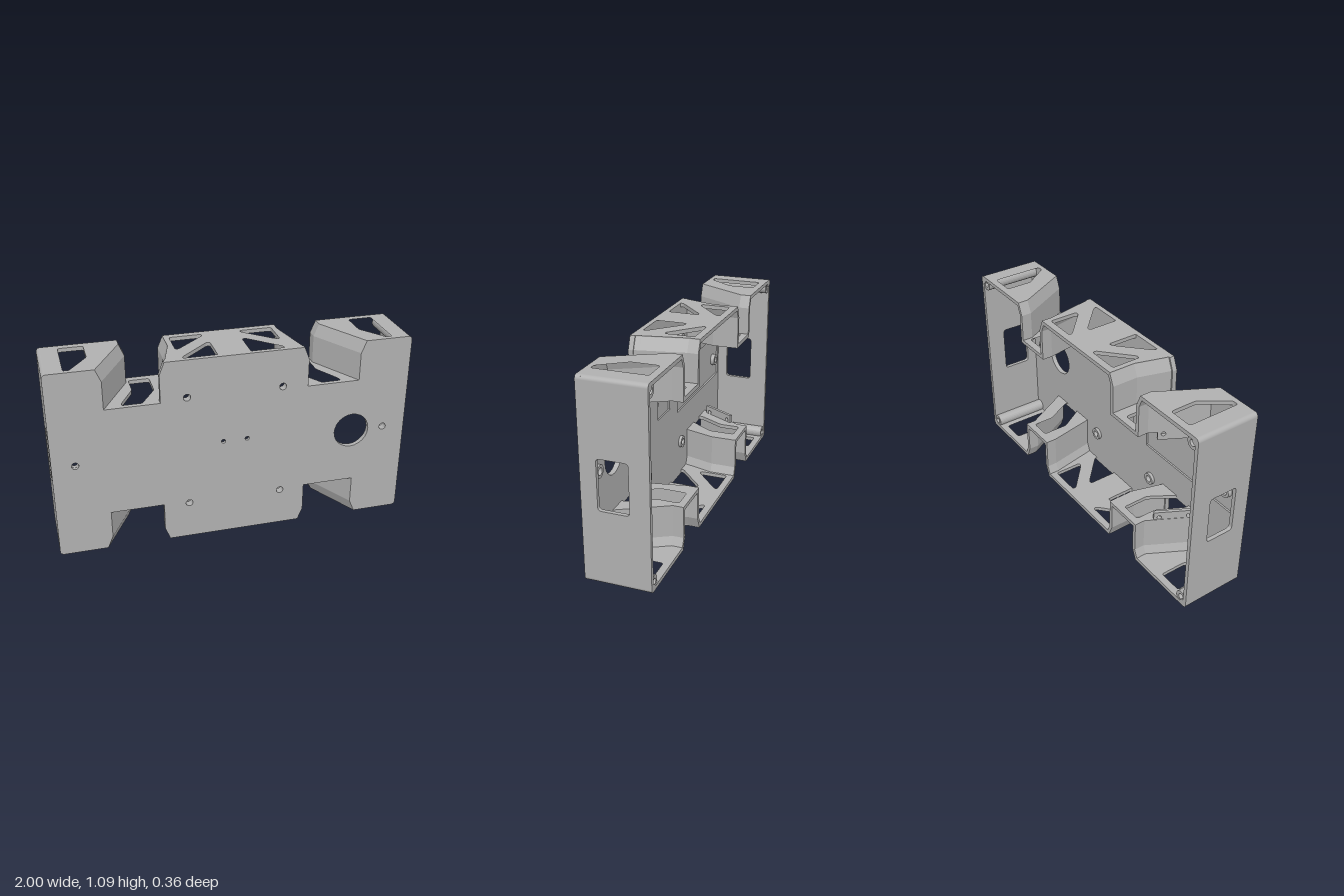
import * as THREE from 'three';

const H = 1.09, D = 0.18, T = 0.022;
const grey = new THREE.MeshStandardMaterial({ color: 0xb0b0b0 });
grey.name = 'plain grey';

// Closed outline from [x, y, cornerRadius] points
function outline(pts, r = 0, Type = THREE.Shape) {
  const s = new Type(), n = pts.length;
  pts.forEach((p, i) => {
    const v = new THREE.Vector2(p[0], p[1]);
    const toward = (q) => {
      const d = new THREE.Vector2(q[0], q[1]).sub(v), len = d.length();
      return d.setLength(Math.min(p[2] ?? r, len * 0.45)).add(v);
    };
    const a = toward(pts[(i + n - 1) % n]), b = toward(pts[(i + 1) % n]);
    if (i) s.lineTo(a.x, a.y); else s.moveTo(a.x, a.y);
    if ((p[2] ?? r) > 0) s.quadraticCurveTo(v.x, v.y, b.x, b.y);
  });
  s.closePath();
  return s;
}
const cut = (pts, r = 0.015) => outline(pts, r, THREE.Path);
const round = (x, y, r) => new THREE.Path().absarc(x, y, r, 0, Math.PI * 2, true);
const rect = (x0, y0, x1, y1) => [[x0, y0], [x1, y0], [x1, y1], [x0, y1]];

function slab(shape, holes, depth, steps = 1) {
  shape.holes.push(...holes);
  return new THREE.ExtrudeGeometry(shape, { depth, steps, bevelEnabled: false, curveSegments: 12 });
}

export function createModel() {
  const model = new THREE.Group();
  model.name = 'enclosure';
  const add = (name, geo, x = 0, y = 0, z = 0) => {
    const m = new THREE.Mesh(geo, grey);
    m.name = name;
    m.position.set(x, y, z);
    model.add(m);
    return m;
  };
  // Horizontal plate given by [x, z] points
  const flat = (pts, holes) => slab(outline(pts.map(([x, z]) => [x, -z])),
    holes.map((h) => cut(h.map(([x, z]) => [x, -z]))), T).rotateX(-Math.PI / 2);
  const mirrorX = (pts, s) => pts.map(([x, ...rest]) => [x * s, ...rest]);

  // Front plate: outer skin plus inner layer with shallow recesses
  const quarter = [[1, H, 0.025], [0.735, H], [0.705, 1.02], [0.705, 0.86], [0.408, 0.86], [0.408, 1.02], [0.38, H]];
  const flipY = (pts) => pts.map(([x, y, r]) => [x, H - y, r]);
  const left = mirrorX(quarter, -1);
  const edge = [...quarter, ...[...left].reverse(), ...flipY(left), ...flipY([...quarter].reverse())];
  const screws = [[-0.875, 0.55], [0.87, 0.55]];
  for (const x of [-0.265, 0.265]) screws.push([x, 0.875], [x, 0.22]);
  const drilled = () => [round(0.68, 0.55, 0.102), ...screws.map(([x, y]) => round(x, y, 0.02))];
  const pins = [-0.067, 0.067].map((x) => round(x, 0.585, 0.012));
  add('frontPlate', slab(outline(edge), [...drilled(), ...pins], 0.018), 0, 0, D - 0.018);
  const inner = drilled();
  inner.splice(1, 1); // this screw hole lies inside the large recess
  add('frontPlateInnerLayer', slab(outline(edge), [...inner,
    cut(rect(-0.09, 0.5, 0.09, 0.615), 0), cut(rect(-0.965, 0.43, -0.215, 0.7), 0)], 0.01), 0, 0, D - 0.028);

  // Raised rings round the screw holes
  for (const [x, y] of screws) {
    add('screwRing', slab(new THREE.Shape().absarc(x, y, 0.036, 0, Math.PI * 2), [round(x, y, 0.02)], 0.025), 0, 0, D - 0.045);
  }

  // Notch wall offsets from the back towards the front
  const ramp = (z, kink) => Math.max(0, (z - kink) / (D - kink));
  for (const s of [1, -1]) {
    const kink = s > 0 ? -0.12 : -0.03;

    // End wall with window
    add('endWall', slab(outline(rect(-D, T, D, H - T)), [cut(rect(-0.092, 0.41, 0.073, 0.685), 0.02)], T)
      .rotateY(Math.PI / 2), s > 0 ? 1 - T : -1);

    for (const top of [true, false]) {
      const Y = (y) => (top ? y : H - y);
      const lidY = top ? H - T : 0;

      // Lid of the end pod
      add('podLid', flat(mirrorX([[0.57, -D], [1 - T, -D], [1 - T, D], [0.735, D], [0.57, -0.12]], s),
        [mirrorX([[0.755, -0.14], [0.89, -0.14], [0.89, 0.155], [0.86, 0.155], [0.755, 0.01]], s)]), 0, lidY);

      // Half of the centre lid with triangular openings
      add('centreLid', flat(mirrorX([[0, -D], [0.32, -D], [0.32, kink], [0.38, D], [0, D]], s), [
        mirrorX([[0.29, -0.14], [0.11, -0.14], [0.11, -0.12], [0.27, 0.025], [0.29, 0.025]], s),
        mirrorX([[0.09, 0.155], [0.09, -0.02], [0.11, -0.02], [0.275, 0.135], [0.275, 0.155]], s),
      ]), 0, lidY);

      // Floor of the wheel notch
      add('notchFloor', flat(mirrorX([[0.335, -D], [0.55, -D], [0.55, -0.12], [0.715, D], [0.395, D], [0.335, kink]], s),
        [mirrorX([[0.41, -0.14], [0.525, -0.14], [0.525, -0.02], [0.605, 0.13], [0.605, 0.155], [0.5, 0.155], [0.41, 0.01]], s)]),
      0, top ? 0.86 - T : H - 0.86);

      // Notch side walls, chamfered at the lid and bent along their depth
      const walls = [['notchOuterWall', 0.54, 0.165, -0.12, 1], ['notchInnerWall', 0.348, 0.06, kink, -1]];
      for (const [name, x0, run, bend, dir] of walls) {
        const section = [[0, 0.86 - T], [0, 1.02], [0.03, H], [0.03 + T, H], [T, 1.02], [T, 0.86 - T]]
          .map(([x, y]) => [s * (x0 + dir * x), Y(y)]);
        const geo = slab(outline(section), [], 2 * D, 12).translate(0, 0, -D);
        const p = geo.attributes.position;
        for (let i = 0; i < p.count; i++) p.setX(i, p.getX(i) + s * run * ramp(p.getZ(i), bend));
        geo.computeVertexNormals();
        add(name, geo);
      }

      // Rounded long corner and its screw post
      add('roundedCorner', new THREE.CylinderGeometry(T, T, 2 * D, 24).rotateX(Math.PI / 2), s * (1 - T), Y(H - T));
      const post = new THREE.Shape().absarc(0, 0, 0.036, 0, Math.PI * 2);
      add('cornerPost', slab(post, [round(0, 0, 0.018)], 2 * D - 0.03), s * 0.955, Y(H - 0.045), -D + 0.005);

      // Drilled tab on the slanted walls of one end
      if (s < 0) {
        const tab = add('mountingTab', slab(outline(rect(-0.11, -0.035, 0.11, 0.035)),
          [round(-0.08, 0, 0.012), round(0.08, 0, 0.012)], 0.018), -0.622, Y(0.825), 0.03);
        tab.rotation.y = Math.atan2(-0.876, -0.482);
      }
    }
  }

  // Small cable clips inside the front plate
  for (const [x, y] of [[-0.105, 0.8], [0.1, 0.98]]) {
    add('clipStem', new THREE.BoxGeometry(0.03, 0.03, 0.08), x, y, 0.12);
    add('clipHook', new THREE.BoxGeometry(0.03, 0.07, 0.02), x, y + 0.02, 0.09);
  }
  return model;
}
